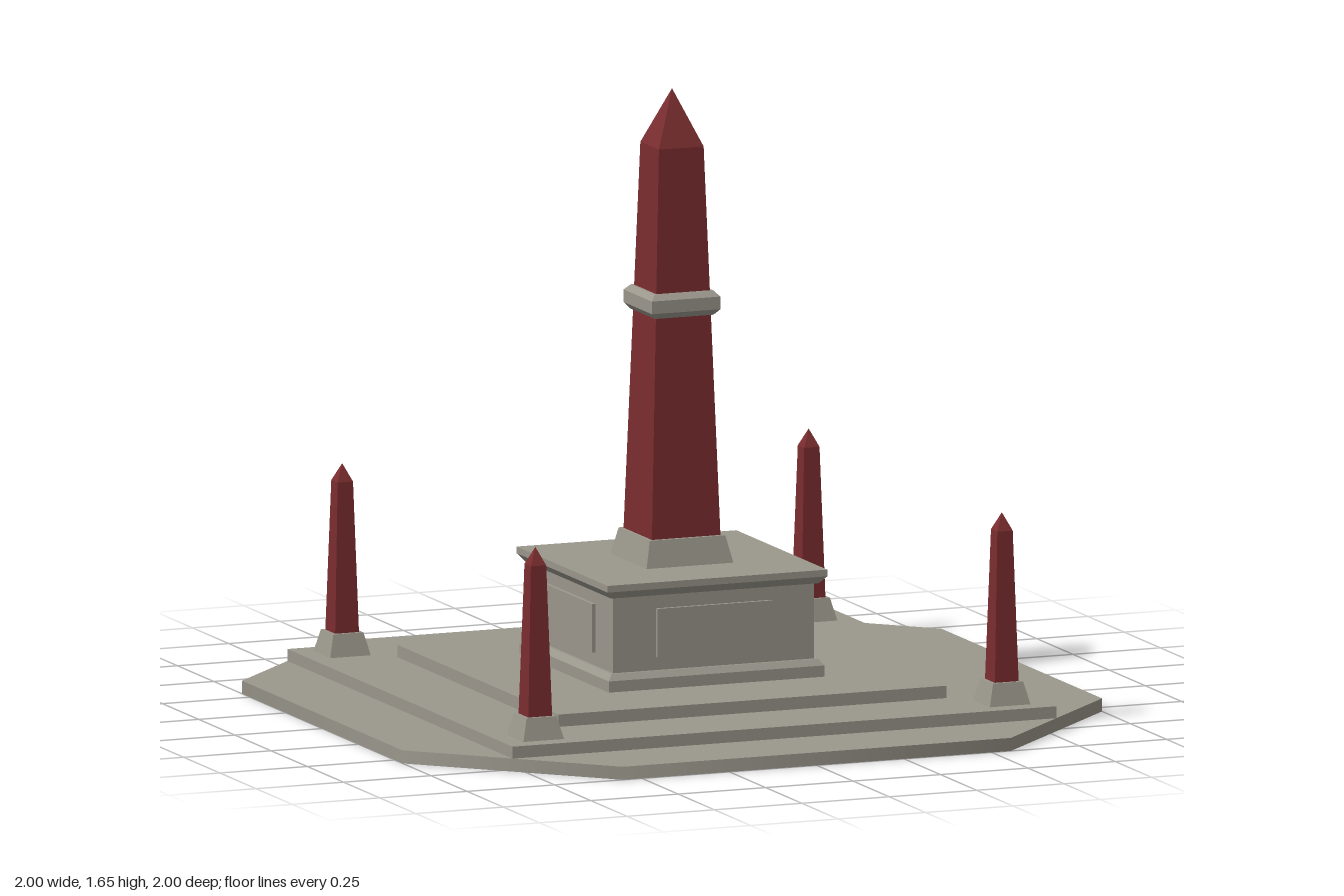
import * as THREE from 'three';

// Square tier solid: profile of [half width, y] from bottom to top, closed at both ends
function squareSolid(profile) {
  const pts = [[0, profile[0][1]], ...profile];
  const last = profile[profile.length - 1];
  if (last[0] > 0) pts.push([0, last[1]]);
  const points = pts.map(([h, y]) => new THREE.Vector2(h * Math.SQRT2, y));
  const geo = new THREE.LatheGeometry(points, 4, Math.PI / 4).toNonIndexed();
  geo.computeVertexNormals();
  return geo;
}

// Octagon with long sides on the axes and cut corners
function cutCornerSlab(half, cut, height) {
  const geo = new THREE.CylinderGeometry(1, 1, height, 8, 1, false, Math.PI / 8);
  const p = geo.attributes.position;
  for (let i = 0; i < p.count; i++) {
    const x = p.getX(i), z = p.getZ(i);
    if (Math.hypot(x, z) < 0.01) continue;
    const wide = Math.abs(x) > Math.abs(z);
    p.setX(i, Math.sign(x) * (wide ? half : cut));
    p.setZ(i, Math.sign(z) * (wide ? cut : half));
  }
  geo.translate(0, height / 2, 0);
  return geo;
}

export function createModel() {
  const stone = new THREE.MeshStandardMaterial({ color: 0x9b978c });
  stone.name = 'grey stone';
  const granite = new THREE.MeshStandardMaterial({ color: 0x7b2d2f });
  granite.name = 'red granite';

  const model = new THREE.Group();
  model.name = 'obeliskMonument';
  const add = (name, geo, mat, parent = model) => {
    const mesh = new THREE.Mesh(geo, mat);
    mesh.name = name;
    parent.add(mesh);
    return mesh;
  };

  // Stepped platform
  add('octagonalBase', cutCornerSlab(1, 0.555, 0.035), stone);
  add('lowerStep', squareSolid([[0.778, 0.035], [0.778, 0.067]]), stone);
  add('upperStep', squareSolid([[0.555, 0.067], [0.555, 0.1]]), stone);

  // Pedestal with foot moulding and cornice
  add('pedestal', squareSolid([
    [0.308, 0.1], [0.308, 0.13], [0.295, 0.147], [0.287, 0.147],
    [0.287, 0.35], [0.297, 0.35], [0.314, 0.37], [0.314, 0.388],
  ]), stone);

  // Raised panel on each side of the pedestal
  for (let i = 0; i < 4; i++) {
    const geo = new THREE.BoxGeometry(0.33, 0.13, 0.02);
    geo.translate(0, 0.248, 0.287);
    add('pedestalPanel', geo, stone).rotation.y = i * Math.PI / 2;
  }

  // Main obelisk
  add('obeliskPlinth', squareSolid([[0.124, 0.388], [0.108, 0.46]]), stone);
  add('obeliskShaft', squareSolid([[0.098, 0.46], [0.064, 1.5], [0, 1.65]]), granite);
  add('obeliskCollar', squareSolid([
    [0.084, 1.05], [0.098, 1.066], [0.098, 1.1], [0.084, 1.115],
  ]), stone);

  // Small corner obelisks
  const plinthGeo = squareSolid([[0.058, 0], [0.043, 0.06]]);
  const shaftGeo = squareSolid([[0.034, 0.06], [0.022, 0.463], [0, 0.51]]);
  for (const sx of [-1, 1]) {
    for (const sz of [-1, 1]) {
      const corner = new THREE.Group();
      corner.name = 'cornerObelisk';
      corner.position.set(sx * 0.667, 0.067, sz * 0.667);
      add('cornerPlinth', plinthGeo, stone, corner);
      add('cornerShaft', shaftGeo, granite, corner);
      model.add(corner);
    }
  }
  return model;
}
